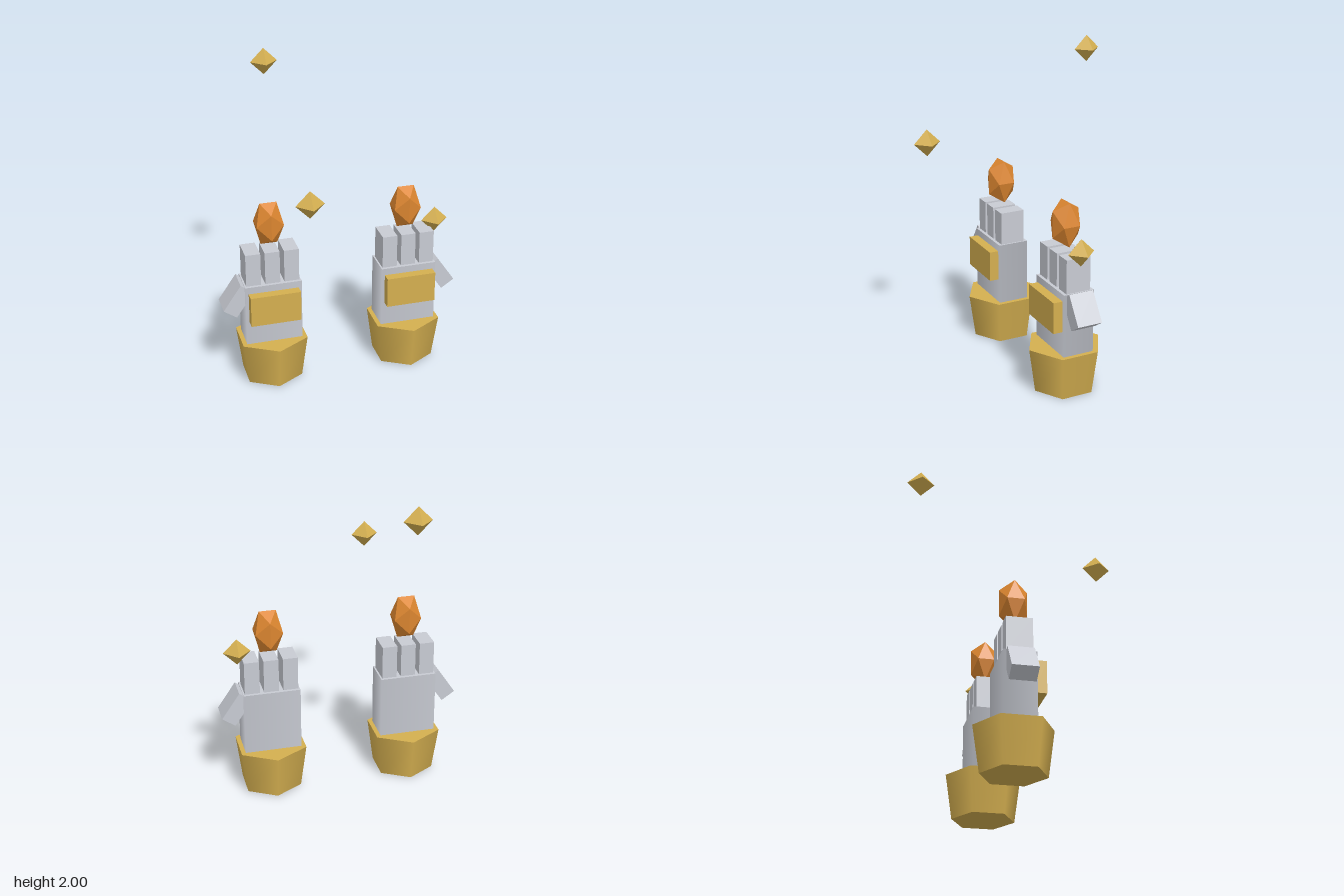
import * as THREE from 'three';

const gold = new THREE.MeshStandardMaterial({ color: 0xd4af50 });
gold.name = 'gold';
const silver = new THREE.MeshStandardMaterial({ color: 0xc8cbd3 });
silver.name = 'silver';
const amber = new THREE.MeshStandardMaterial({ color: 0xdc8630 });
amber.name = 'amber';

function part(parent, name, geometry, material, x, y, z) {
  const mesh = new THREE.Mesh(geometry, material);
  mesh.name = name;
  mesh.position.set(x, y, z);
  parent.add(mesh);
  return mesh;
}

// One gauntlet; side is the direction the thumb points (+1 or -1)
function createGauntlet(side) {
  const hand = new THREE.Group();
  hand.name = side > 0 ? 'leftGauntlet' : 'rightGauntlet';

  // Flared six-sided cuff
  part(hand, 'cuff', new THREE.CylinderGeometry(0.24, 0.2, 0.285, 6), gold, 0, 0.1425, 0);

  // Four-sided palm with soft shading
  const palm = new THREE.CylinderGeometry(Math.SQRT1_2, Math.SQRT1_2, 1, 4);
  palm.rotateY(Math.PI / 4);
  palm.scale(0.36, 0.42, 0.2);
  part(hand, 'palm', palm, silver, 0, 0.48, 0);

  // Raised plate on the front of the hand
  part(hand, 'handPlate', new THREE.BoxGeometry(0.32, 0.2, 0.08), gold, 0, 0.545, 0.12);

  // Three upright fingers
  for (const i of [-1, 0, 1]) {
    part(hand, 'finger', new THREE.BoxGeometry(0.095, 0.22, 0.16), silver, i * 0.122, 0.795, 0);
  }

  // Thumb splayed outward
  const thumb = part(hand, 'thumb', new THREE.BoxGeometry(0.1, 0.2, 0.16), silver, side * 0.22, 0.59, 0);
  thumb.rotation.z = side * 0.6;

  // Tall faceted crystal floating above the fingers
  const crystal = new THREE.IcosahedronGeometry(0.101, 0);
  crystal.scale(1, 1.6, 1);
  crystal.computeVertexNormals();
  part(hand, 'crystal', crystal, amber, 0, 1.07, 0);

  hand.position.x = side * 0.443;
  return hand;
}

export function createModel() {
  const model = new THREE.Group();
  model.name = 'gauntletPair';
  model.add(createGauntlet(1), createGauntlet(-1));

  // Orbiting octahedral shards
  for (const [x, y, z] of [[0.64, 0.95, 0], [-0.323, 1.433, 0.558], [-0.323, 1.915, -0.558]]) {
    part(model, 'shard', new THREE.OctahedronGeometry(0.086, 0), gold, x, y, z);
  }
  return model;
}
